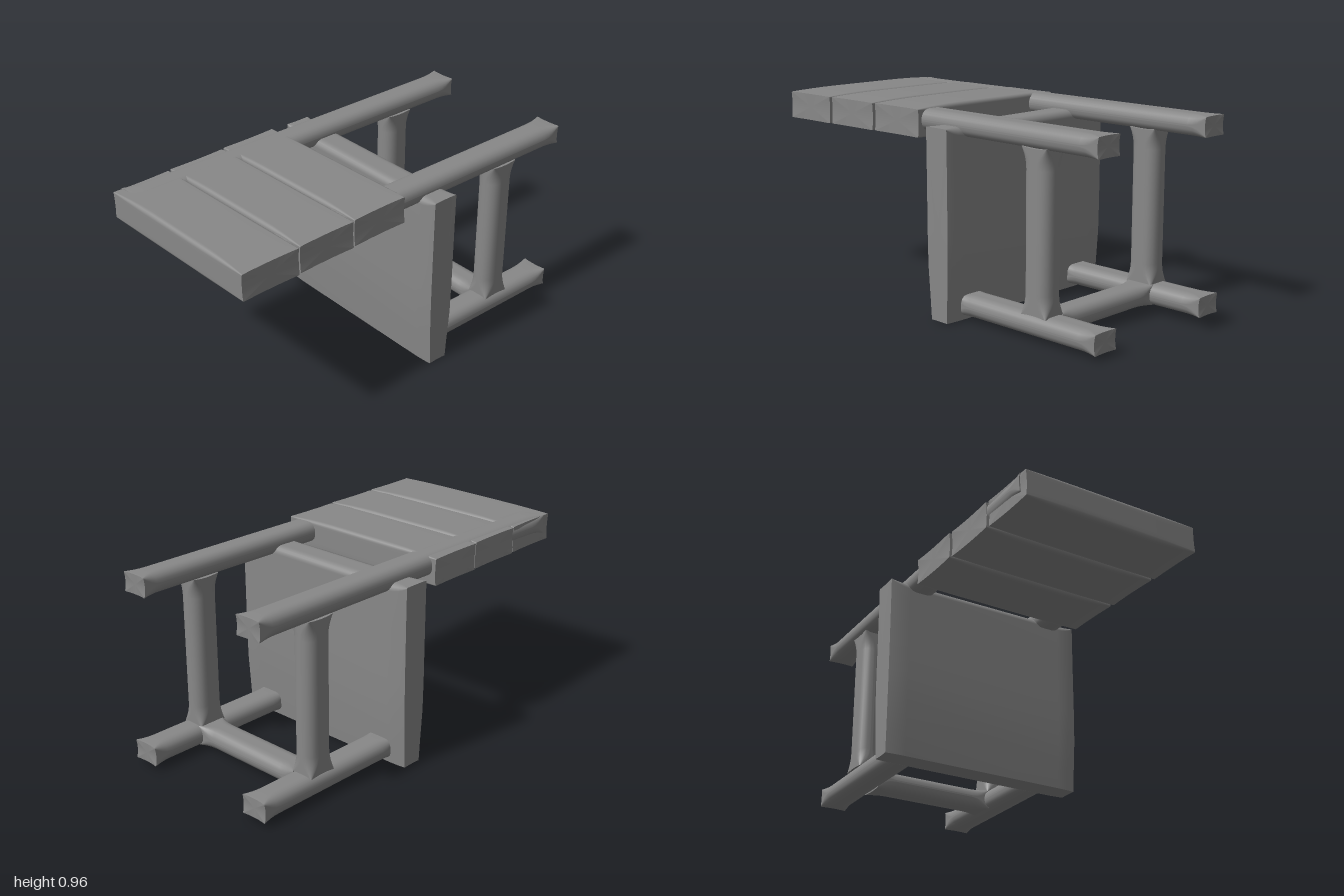
import * as THREE from 'three';

const material = new THREE.MeshStandardMaterial({ color: 0x888888, side: THREE.DoubleSide });
const ARC = 5, EDGE = 6;

// Rounded-rectangle outline, counter-clockwise, with extra points along the edges
function outline(w, h, r) {
  const arcs = [], pts = [];
  for (let q = 0; q < 4; q++) {
    const sx = q === 0 || q === 3 ? 1 : -1, sy = q < 2 ? 1 : -1;
    arcs.push([]);
    for (let k = 0; k <= ARC; k++) {
      const a = (q + k / ARC) * Math.PI / 2;
      arcs[q].push(new THREE.Vector2(sx * (w / 2 - r) + r * Math.cos(a), sy * (h / 2 - r) + r * Math.sin(a)));
    }
  }
  for (let q = 0; q < 4; q++) {
    pts.push(...arcs[q]);
    const a = arcs[q][ARC], b = arcs[(q + 1) % 4][0];
    for (let k = 1; k < EDGE; k++) pts.push(a.clone().lerp(b, k / EDGE));
  }
  return pts;
}

// Soft bar along z: rounded in the middle, turning square and slimmer towards slightly dished ends
function barGeometry(w, h, length, { r = 0.045, flare = 0.1, dish = 0.006, taperW = 0.94, taperH = 0.94 } = {}) {
  const pos = [], index = [], rings = [];
  const steps = [0, 0.1, 0.25, 0.45, 0.7, 1].map(s => s * flare);
  const stations = [...steps.map(d => [-1, d]), ...steps.slice().reverse().map(d => [1, d])];
  for (const [side, d] of stations) {
    const f = (1 - d / flare) ** 2;
    const rw = w * (1 + (taperW - 1) * f), rh = h * (1 + (taperH - 1) * f);
    rings.push(outline(rw, rh, r + (0.004 - r) * f).map(p => {
      const corner = Math.min(1, Math.abs(4 * p.x * p.y / (rw * rh)));
      return new THREE.Vector3(p.x, p.y, side * (length / 2 - d - dish * f * (1 - corner ** 2)));
    }));
  }
  const n = rings[0].length;
  rings.forEach(ring => ring.forEach(p => pos.push(p.x, p.y, p.z)));
  for (let i = 0; i < rings.length - 1; i++) {
    for (let j = 0; j < n; j++) {
      const a = i * n + j, b = i * n + (j + 1) % n;
      index.push(a, b, b + n, a, b + n, a + n);
    }
  }
  // End caps with their own vertices, so the rims stay crisp
  for (const [ring, side] of [[rings[0], -1], [rings[rings.length - 1], 1]]) {
    const start = pos.length / 3;
    ring.forEach(p => pos.push(p.x, p.y, p.z));
    pos.push(0, 0, side * (length / 2 - dish));
    for (let j = 0; j < n; j++) {
      const a = start + j, b = start + (j + 1) % n;
      if (side > 0) index.push(a, b, start + n);
      else index.push(b, a, start + n);
    }
  }
  const geo = new THREE.BufferGeometry();
  geo.setAttribute('position', new THREE.Float32BufferAttribute(pos, 3));
  geo.setIndex(index);
  geo.computeVertexNormals();
  return geo;
}

export function createModel() {
  const group = new THREE.Group();
  const add = (name, geo, x, y, z, rotY = 0) => {
    const mesh = new THREE.Mesh(geo, material);
    mesh.name = name;
    mesh.position.set(x, y, z);
    mesh.rotation.y = rotY;
    group.add(mesh);
  };

  // Seat, standing upright, thinner towards its flat bottom edge
  const seat = barGeometry(0.15, 0.96, 1.055, { r: 0.035, dish: 0.002, taperW: 0.88, taperH: 1 });
  seat.rotateY(Math.PI / 2);
  seat.translate(0, 0.42, 0);
  const p = seat.attributes.position;
  for (let i = 0; i < p.count; i++) {
    const y = Math.max(0, p.getY(i));
    const low = Math.max(0, 1 - y / 0.3);
    p.setXYZ(i, p.getX(i) * (1 - 0.015 * low), y, p.getZ(i) * (1 - 0.24 * low));
  }
  seat.computeVertexNormals();
  add('seat', seat, 0, 0, -0.138);

  // Long back posts, front legs and the side stretchers between them
  for (const [side, x] of [['left', 0.367], ['right', -0.367]]) {
    add(side + 'BackPost', barGeometry(0.147, 0.1, 1.95), x, 0.904, -0.025);
    add(side + 'FrontLeg', barGeometry(0.147, 0.1, 0.85), x, 0.07, -0.575);
    const stretcher = barGeometry(0.12, 0.147, 0.75, { r: 0.052, taperW: 1, taperH: 1 });
    stretcher.rotateX(-Math.PI / 2);
    add(side + 'Stretcher', stretcher, x, 0.487, -0.637);
  }

  // Cross stretcher between the front legs
  const cross = barGeometry(0.147, 0.1, 0.64, { taperW: 1, taperH: 1 });
  cross.rotateY(Math.PI / 2);
  add('crossStretcher', cross, 0, 0.07, -0.643);

  // Three thick back slats, each a little askew and slimmer at the ends
  for (let i = 0; i < 3; i++) {
    const slat = barGeometry(0.302, 0.15, 0.925, { r: 0.02, flare: 0.28, dish: 0.004, taperW: 0.99, taperH: 0.87 });
    slat.rotateY(Math.PI / 2);
    slat.rotateZ(0.01);
    add('backSlat' + (i + 1), slat, 0.003 + 0.012 * i, 0.886, 0.213 + 0.311 * i, 0.02);
  }
  return group;
}
